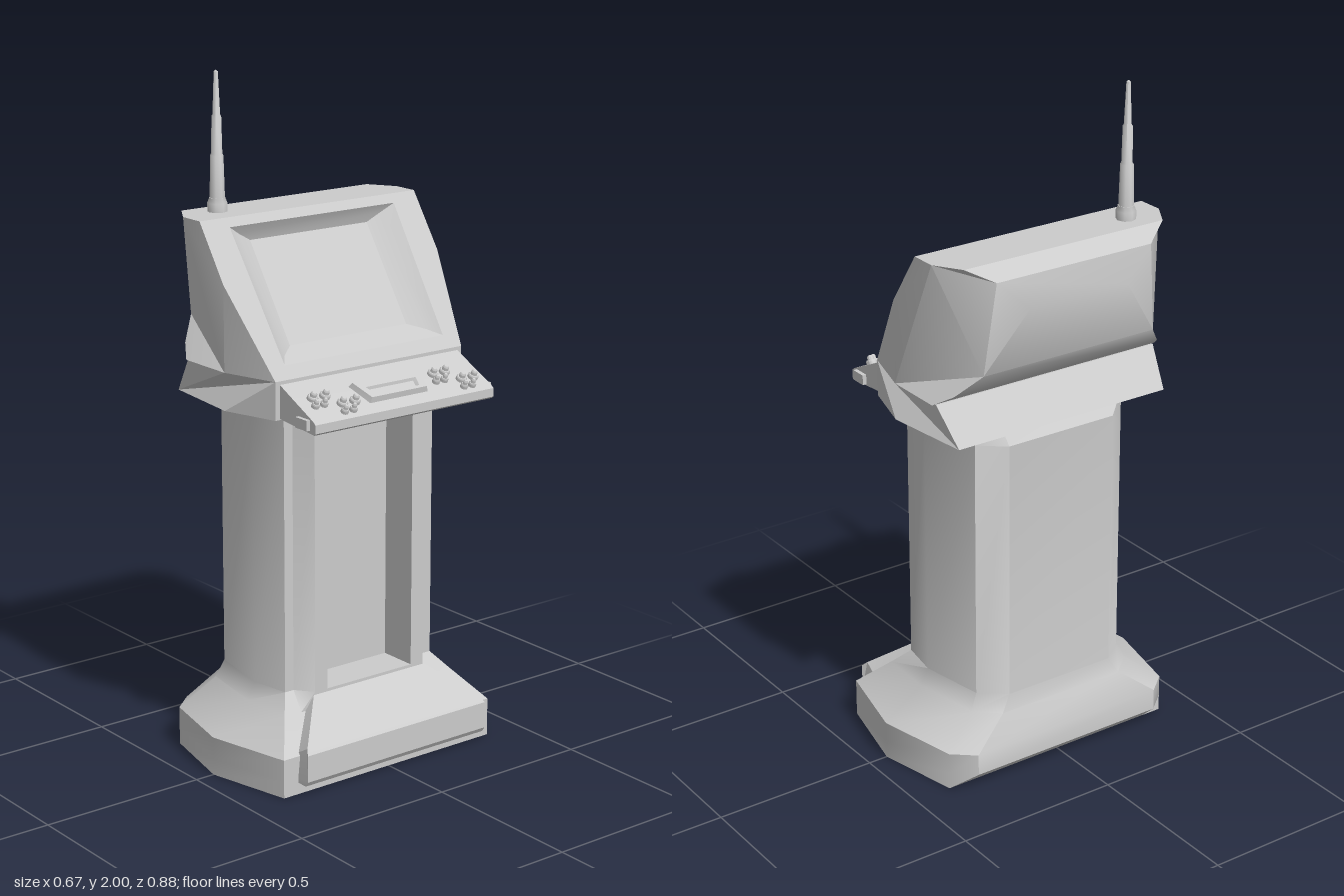
import * as THREE from 'three';
import { toCreasedNormals } from 'three/addons/utils/BufferGeometryUtils.js';

const material = new THREE.MeshStandardMaterial({ color: 0xcccccc });

function add(parent, name, geometry, x = 0, y = 0, z = 0) {
  const mesh = new THREE.Mesh(geometry, material);
  mesh.name = name;
  mesh.position.set(x, y, z);
  parent.add(mesh);
  return mesh;
}

// Skin closed rings of [x, y, z] points; project(p) gives 2D points for the caps.
function loft(rings, project, { start = true, end = true, skip = [], crease = 0.6 } = {}) {
  const pos = [];
  const tri = (...pts) => pts.forEach((p) => pos.push(...p));
  for (let k = 0; k < rings.length - 1; k++) {
    const r0 = rings[k], r1 = rings[k + 1], n = r0.length;
    for (let i = 0; i < n; i++) {
      if (skip.includes(i)) continue;
      const j = (i + 1) % n;
      tri(r0[i], r0[j], r1[j]);
      tri(r0[i], r1[j], r1[i]);
    }
  }
  const cap = (ring, flip) => {
    const flat = ring.map((p) => new THREE.Vector2(...project(p)));
    for (const [a, b, c] of THREE.ShapeUtils.triangulateShape(flat, [])) {
      if (flip) tri(ring[a], ring[c], ring[b]);
      else tri(ring[a], ring[b], ring[c]);
    }
  };
  if (start) cap(rings[0], true);
  if (end) cap(rings[rings.length - 1], false);
  const geo = new THREE.BufferGeometry();
  geo.setAttribute('position', new THREE.Float32BufferAttribute(pos, 3));
  return toCreasedNormals(geo, crease);
}

// Mirrored prism from a side profile of [x, y, halfWidth], counter-clockwise.
function prism(profile, options) {
  const ring = (s) => profile.map(([x, y, w]) => [x, y, s * w]);
  return loft([ring(-1), ring(1)], (p) => [p[0], p[1]], options);
}

// Full horizontal ring from half an outline of [x, z], front to back.
function planRing(y, half) {
  const right = half.map(([x, z]) => [x, y, -z]);
  const left = half.map(([x, z]) => [x, y, z]).reverse();
  return [...right, ...left];
}

// Front of the head: x on the sloping face at height y
const slopeX = (y) => 0.17 - (y - 1.19) * 0.683;

function buildPedestal(group) {
  // Outline order: recess, opening edge, frame front, frame side, side front, side middle, back corner, back
  const solid = [[0.17, 0.1], [0.17, 0.155], [0.17, 0.2], [0.12, 0.24],
    [0.12, 0.27], [0, 0.29], [-0.2, 0.255], [-0.26, 0.18]];
  const hollow = solid.map((p) => [...p]);
  hollow[0] = [0.05, 0.155];
  const foot = [[0.26, 0.1], [0.26, 0.155], [0.26, 0.25], [0.26, 0.34],
    [0.26, 0.38], [0, 0.44], [-0.25, 0.385], [-0.305, 0.32]];
  const sole = foot.map(([x, z]) => [Math.max(x, -0.25), z]);
  const flare = [[0.17, 0.1], [0.17, 0.155], [0.17, 0.2], [0.17, 0.25],
    [0.17, 0.31], [0, 0.315], [-0.21, 0.28], [-0.27, 0.21]];
  const top = solid.map(([x, z]) => [Math.max(x, -0.225), z]);
  add(group, 'pedestal', loft([
    planRing(0, sole), planRing(0.05, foot), planRing(0.115, foot),
    planRing(0.2, flare), planRing(0.25, solid), planRing(0.25, hollow),
    planRing(1.04, hollow), planRing(1.04, solid), planRing(1.08, top),
  ], (p) => [p[0], -p[2]], { crease: 0.7 }));

  // Sloping plate over the front of the foot
  add(group, 'footPlate', prism([
    [0.1, 0.035, 0.33], [0.295, 0.035, 0.33], [0.305, 0.05, 0.33],
    [0.305, 0.13, 0.33], [0.29, 0.145, 0.32], [0.165, 0.245, 0.2], [0.1, 0.245, 0.2],
  ], { crease: 0.4 }));
}

function buildHead(group) {
  add(group, 'skirt', prism([
    [-0.27, 1.08, 0.355], [0, 1.08, 0.385], [0.17, 1.08, 0.335],
    [0.17, 1.19, 0.335], [0, 1.19, 0.385], [-0.19, 1.19, 0.375],
  ], { crease: 0.3 }));

  // Shell, left open along the slope where the screen surround sits
  add(group, 'headShell', prism([
    [-0.185, 1.19, 0.385], [0, 1.19, 0.385], [0.17, 1.19, 0.335],
    [0, 1.439, 0.385], [slopeX(1.6), 1.6, 0.385], [-0.19, 1.6, 0.385],
    [-0.27, 1.6, 0.335], [-0.315, 1.56, 0.26], [-0.335, 1.47, 0.165],
    [-0.295, 1.29, 0.29], [-0.24, 1.225, 0.35],
  ], { skip: [2, 3], crease: 0.5 }));

  // Rings stepping inward from the shell edge to the sunken screen
  const ring = (depth, levels) => {
    const at = (s) => levels.map(([y, w]) => [slopeX(y) - depth, y, s * w]);
    return [...at(-1), ...at(1).reverse()];
  };
  const project = (p) => [-p[2], p[1]];
  const edge = ring(0, [[1.19, 0.335], [1.439, 0.385], [1.6, 0.385]]);
  const rim = ring(0, [[1.225, 0.285], [1.42, 0.29], [1.575, 0.295]]);
  const step = ring(0.03, [[1.24, 0.255], [1.4, 0.255], [1.55, 0.255]]);
  const pane = ring(0.055, [[1.255, 0.21], [1.39, 0.21], [1.525, 0.21]]);
  add(group, 'screenSurround', loft([edge, rim, step, pane], project, { start: false, end: false, crease: 0.3 }));
  add(group, 'screen', loft([pane], project, { start: false }));
}

function buildControls(group) {
  add(group, 'controlDeck', prism([
    [0.15, 1.085, 0.32], [0.325, 1.07, 0.32], [0.33, 1.075, 0.32],
    [0.33, 1.1, 0.32], [0.32, 1.108, 0.32], [0.17, 1.18, 0.32], [0.15, 1.18, 0.32],
  ], { crease: 0.3 }));
  for (const s of [-1, 1]) {
    add(group, 'deckEndTab', new THREE.BoxGeometry(0.05, 0.03, 0.012), 0.28, 1.095, s * 0.326);
  }

  // Everything on the deck is laid out in its tilted plane
  const tilt = Math.atan2(0.072, 0.15);
  const panel = new THREE.Group();
  panel.name = 'controlPanel';
  panel.position.set(0.17, 1.18, 0);
  panel.rotation.z = -tilt;
  group.add(panel);
  const along = (x) => (x - 0.17) / Math.cos(tilt);

  // Raised tray with a shallow pad
  const rect = (y, x0, x1, w0, w1) => [
    [along(x1), y, w1], [along(x1), y, -w1], [along(x0), y, -w0], [along(x0), y, w0]];
  add(panel, 'tray', loft([
    rect(-0.005, 0.223, 0.298, 0.125, 0.105), rect(0.016, 0.228, 0.292, 0.118, 0.098),
    rect(0.016, 0.252, 0.283, 0.09, 0.078), rect(0.008, 0.256, 0.279, 0.08, 0.073),
  ], (p) => [p[0], -p[2]], { crease: 0.3 }));

  // Buttons: the same cluster for each player
  const cap = (r) => new THREE.LatheGeometry([
    [r, -0.004], [r, 0.008], [r * 0.8, 0.012], [r * 0.62, 0.012],
    [r * 0.6, 0.02], [r * 0.35, 0.025], [0, 0.026],
  ].map(([a, b]) => new THREE.Vector2(a, b)), 10);
  const large = toCreasedNormals(cap(0.016), 0.7);
  const small = toCreasedNormals(cap(0.0115), 0.7);
  for (const shift of [0, 0.43]) {
    for (const [x, z] of [[0.28, -0.284], [0.28, -0.24], [0.242, -0.209], [0.242, -0.166]]) {
      add(panel, 'largeButton', large, along(x), 0, z + shift);
    }
    for (const [x, z] of [[0.309, -0.256], [0.309, -0.226], [0.271, -0.184], [0.271, -0.154]]) {
      add(panel, 'smallButton', small, along(x), 0, z + shift);
    }
  }
}

function buildAntenna(group) {
  const profile = [
    [0, 1.59], [0.029, 1.59], [0.029, 1.625], [0.024, 1.637], [0.024, 1.64],
    [0.022, 1.64], [0.019, 1.76], [0.016, 1.765], [0.014, 1.87],
    [0.011, 1.875], [0.006, 1.995], [0, 2],
  ].map(([r, y]) => new THREE.Vector2(r, y));
  add(group, 'antenna', toCreasedNormals(new THREE.LatheGeometry(profile, 8), 0.9), -0.2, 0, 0.26);
}

export function createModel() {
  const group = new THREE.Group();
  group.name = 'arcadeKiosk';
  buildPedestal(group);
  buildHead(group);
  buildControls(group);
  buildAntenna(group);
  return group;
}
